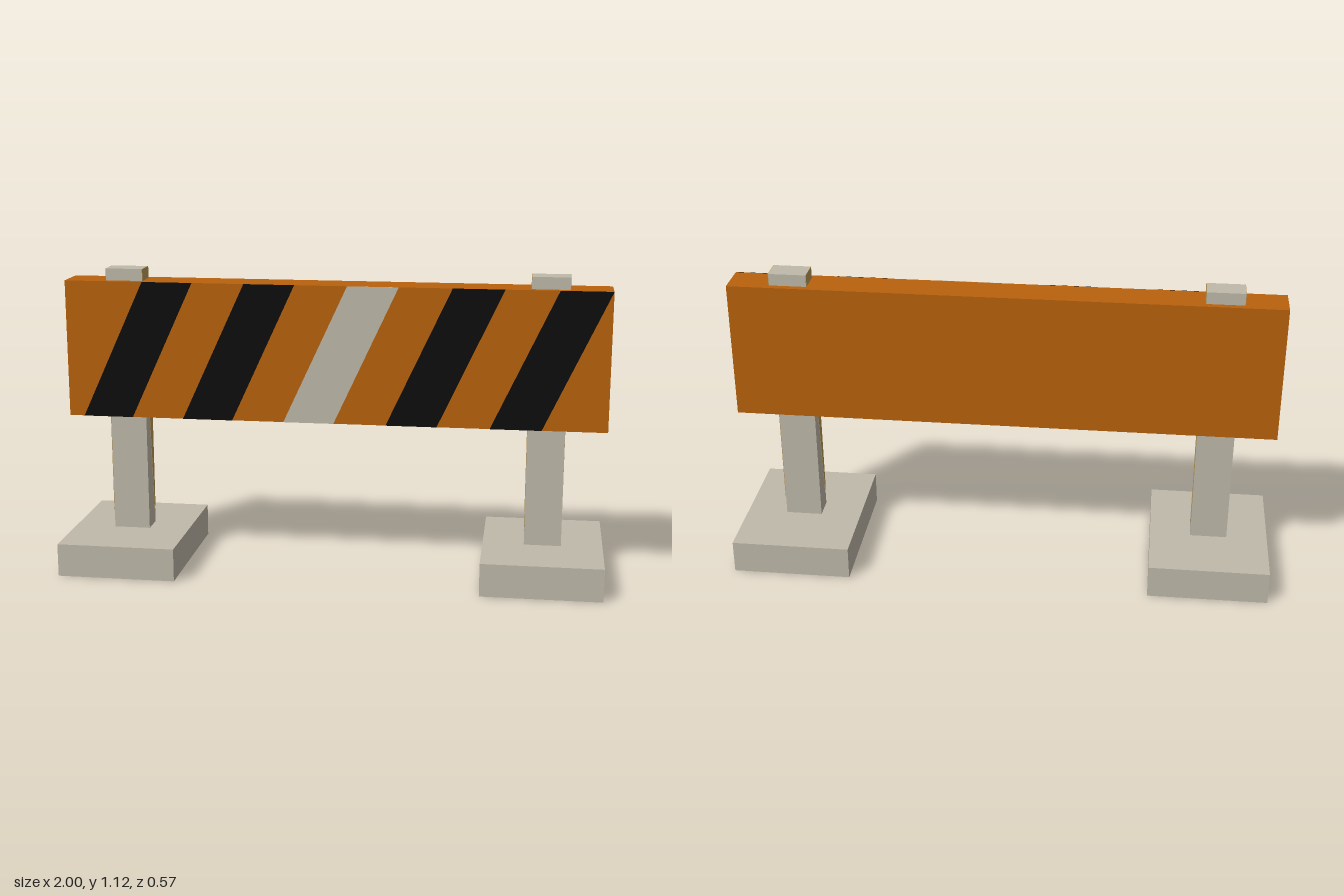
import * as THREE from 'three';

const paint = (name, color) => {
  const m = new THREE.MeshStandardMaterial({ color });
  m.name = name;
  return m;
};

export function createModel() {
  const orange = paint('orange', 0xb8620c);
  const black = paint('black', 0x0d0d0d);
  const pale = paint('paleGrey', 0xc0b9aa);
  const tan = paint('tan', 0xb89856);

  const model = new THREE.Group();
  model.name = 'roadBarrier';

  const add = (parent, name, geometry, material, x = 0, y = 0, z = 0) => {
    const mesh = new THREE.Mesh(geometry, material);
    mesh.name = name;
    mesh.position.set(x, y, z);
    parent.add(mesh);
    return mesh;
  };
  // Box given by its bottom and top heights
  const slab = (parent, name, w, y0, y1, d, material, x = 0) =>
    add(parent, name, new THREE.BoxGeometry(w, y1 - y0, d), material, x, (y0 + y1) / 2);
  // Thin painted plate from an outline
  const plate = (points, depth) => new THREE.ExtrudeGeometry(
    new THREE.Shape(points.map(([x, y]) => new THREE.Vector2(x, y))),
    { depth, bevelEnabled: false });

  // Board
  const bottom = 0.565, top = 1.076, halfDepth = 0.067;
  slab(model, 'board', 2, bottom, top, halfDepth * 2, orange);

  // Slanted stripes on the front, the middle one pale
  const slant = 0.237, width = 0.187;
  for (let i = 0; i < 5; i++) {
    const x = -0.944 + i * 0.38;
    const stripe = plate([[x, bottom], [x + width, bottom],
      [x + width + slant, top], [x + slant, top]], 0.002);
    add(model, 'stripe', stripe, i === 2 ? pale : black, 0, 0, halfDepth);
  }

  // Two supports: foot, post and the tan wedges on the post's sides
  const postTop = 1.12, postW = 0.136, postD = 0.086, h = postD / 2;
  const wedge = plate([[0.034, 0.175], [h, 0.2], [h, postTop], [-h, postTop]], 0.0015);
  wedge.rotateY(Math.PI / 2).translate(postW / 2, 0, 0);
  for (const side of [-1, 1]) {
    const support = new THREE.Group();
    support.name = side > 0 ? 'leftSupport' : 'rightSupport';
    slab(support, 'foot', 0.44, 0, 0.123, 0.566, pale, side * 0.78);
    slab(support, 'post', postW, 0.1, postTop, postD, pale, side * 0.78);
    for (const turn of [0, Math.PI]) {
      add(support, 'postWedge', wedge, tan, side * 0.78).rotation.y = turn;
    }
    model.add(support);
  }
  return model;
}
